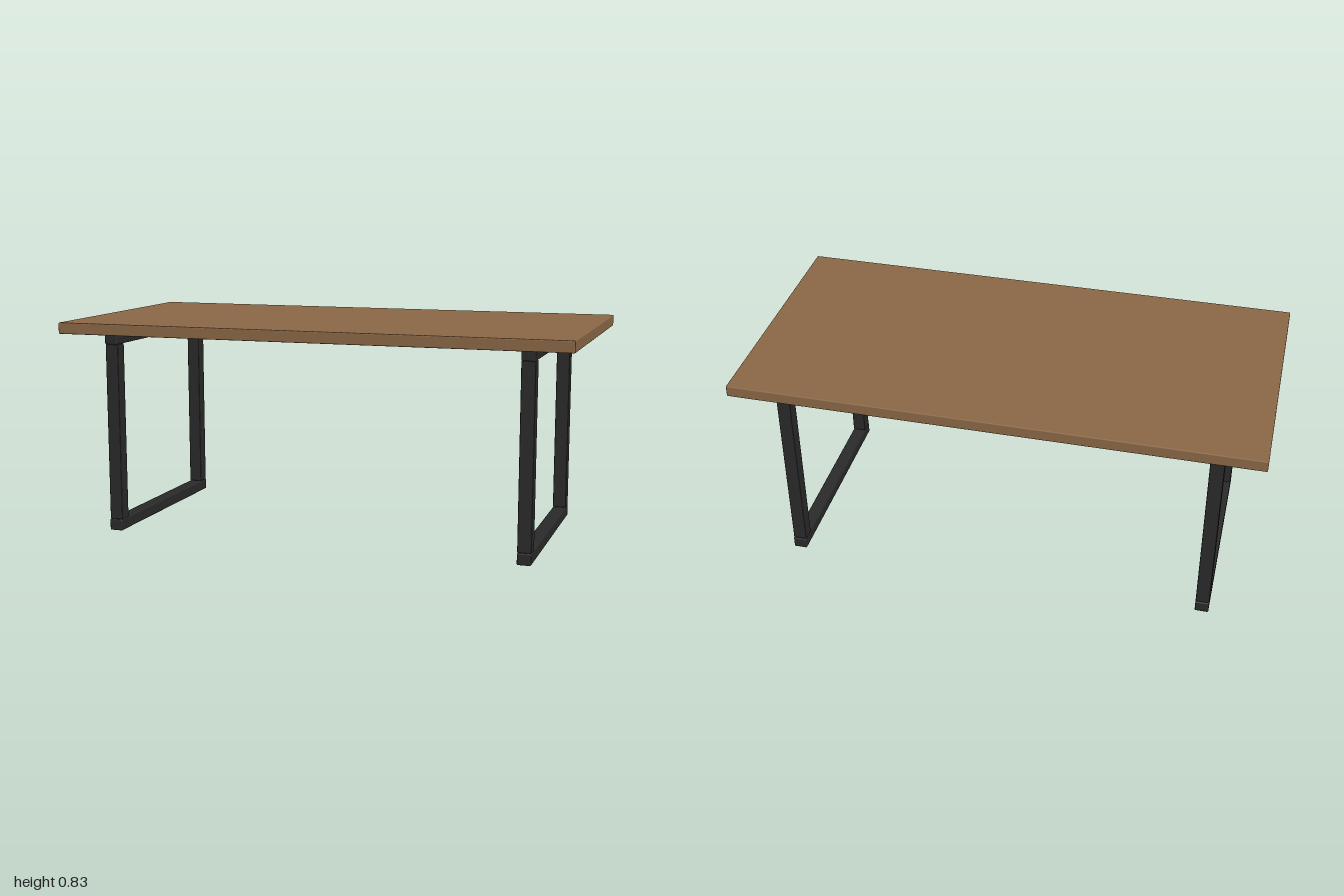
import * as THREE from 'three';
import { RoundedBoxGeometry } from 'three/addons/geometries/RoundedBoxGeometry.js';

export function createModel() {
  const wood = new THREE.MeshStandardMaterial({ color: 0x8b6846 });
  wood.name = 'brown wood';
  const metal = new THREE.MeshStandardMaterial({ color: 0x2a2a2a });
  metal.name = 'black metal';

  const table = new THREE.Group();
  table.name = 'table';

  function addBar(parent, name, material, size, position, radius = 0.005) {
    const mesh = new THREE.Mesh(new RoundedBoxGeometry(...size, 2, radius), material);
    mesh.name = name;
    mesh.position.set(...position);
    parent.add(mesh);
  }

  // Tabletop slab
  addBar(table, 'tabletop', wood, [2, 0.044, 1], [0, 0.813, 0], 0.004);

  // Rectangular leg frame at each end
  for (const side of [-1, 1]) {
    const frame = new THREE.Group();
    frame.name = side > 0 ? 'leftLegFrame' : 'rightLegFrame';
    frame.position.x = side * 0.822;
    addBar(frame, 'topRail', metal, [0.053, 0.045, 0.822], [0, 0.7685, 0]);
    addBar(frame, 'footRail', metal, [0.053, 0.045, 0.822], [0, 0.0225, 0]);
    for (const end of [-1, 1]) {
      addBar(frame, end > 0 ? 'frontLeg' : 'backLeg', metal,
        [0.053, 0.701, 0.053], [0, 0.3955, end * 0.379], 0.003);
    }
    table.add(frame);
  }

  // Long beam joining the two frames under the top
  addBar(table, 'centerBeam', metal, [1.595, 0.04, 0.05], [0, 0.771, 0]);

  return table;
}
